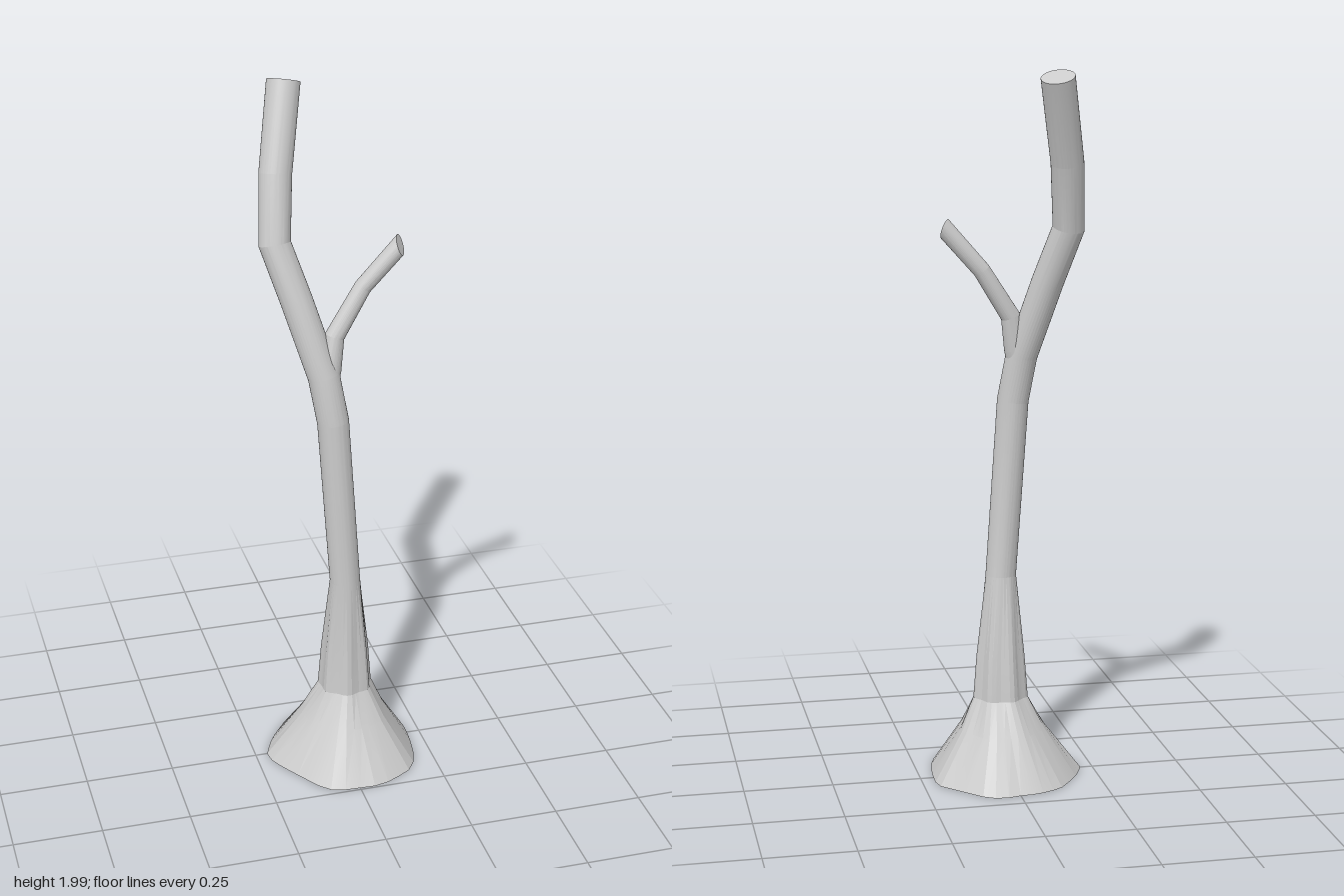
import * as THREE from 'three';
import { toCreasedNormals } from 'three/addons/utils/BufferGeometryUtils.js';

const SIDES = 36;
const material = new THREE.MeshStandardMaterial({ color: 0xcccccc });

// Irregular outline of the root flare on the ground, as x, z points
const OUTLINE = [
  [0.213, 0.0], [0.21, 0.05], [0.195, 0.14], [0.165, 0.19], [0.1, 0.23], [0.055, 0.245],
  [-0.06, 0.24], [-0.1, 0.222], [-0.19, 0.08], [-0.215, 0.03], [-0.216, -0.005],
  [-0.18, -0.08], [-0.12, -0.16], [-0.05, -0.19], [0, -0.193], [0.055, -0.206],
  [0.095, -0.19], [0.205, -0.075], [0.214, -0.06],
];

// Distance from the axis to the outline in direction a
function outlineRadius(a) {
  const c = Math.cos(a), s = Math.sin(a);
  let best = 0.2;
  OUTLINE.forEach(([x, z], i) => {
    const [x2, z2] = OUTLINE[(i + 1) % OUTLINE.length];
    const dx = x2 - x, dz = z2 - z;
    const det = c * dz - s * dx;
    const t = (x * dz - z * dx) / det;
    const u = (x * s - z * c) / det;
    if (t > 0 && u >= 0 && u <= 1) best = t;
  });
  return best;
}

// Closed limb through rings { p: centre, r: radius or function of angle, n: optional plane normal }
function limb(name, rings) {
  const centres = rings.map((k) => new THREE.Vector3(...k.p));
  const last = rings.length - 1;
  const pos = [], index = [];
  rings.forEach((ring, i) => {
    const before = centres[i].clone().sub(centres[Math.max(i - 1, 0)]).normalize();
    const after = centres[Math.min(i + 1, last)].clone().sub(centres[i]).normalize();
    const tangent = before.add(after).normalize();
    const n = ring.n ? new THREE.Vector3(...ring.n).normalize() : tangent;
    const axis = ring.flat ? n : tangent;
    const u = new THREE.Vector3(1, 0, 0).addScaledVector(axis, -axis.x).normalize();
    const v = u.clone().cross(axis);
    for (let j = 0; j < SIDES; j++) {
      const a = (j / SIDES) * Math.PI * 2;
      const r = typeof ring.r === 'function' ? ring.r(a) : ring.r;
      const d = u.clone().multiplyScalar(r * Math.cos(a)).addScaledVector(v, r * Math.sin(a));
      // slide along the limb onto the cut plane
      d.addScaledVector(axis, -d.dot(n) / axis.dot(n)).add(centres[i]);
      pos.push(d.x, d.y, d.z);
    }
  });
  const bottom = pos.length / 3, top = bottom + 1;
  pos.push(...centres[0].toArray(), ...centres[last].toArray());
  for (let j = 0; j < SIDES; j++) {
    const k = (j + 1) % SIDES;
    for (let i = 0; i < last; i++) {
      const a = i * SIDES, b = a + SIDES;
      index.push(a + j, b + j, a + k, a + k, b + j, b + k);
    }
    index.push(bottom, j, k, top, last * SIDES + k, last * SIDES + j);
  }
  const geometry = new THREE.BufferGeometry();
  geometry.setAttribute('position', new THREE.Float32BufferAttribute(pos, 3));
  geometry.setIndex(index);
  const mesh = new THREE.Mesh(toCreasedNormals(geometry, 0.19), material);
  mesh.name = name;
  return mesh;
}

export function createModel() {
  const group = new THREE.Group();
  group.name = 'tree';
  const up = [0, 1, 0];
  // Fluted section that fades out of the root outline
  const root = (r, k, flute) => (a) =>
    r * (1 - k) + outlineRadius(a) * k + flute * Math.cos(7 * a + 0.6);

  // Trunk with root flare, bending into the main limb
  group.add(limb('trunk', [
    { p: [0, 0.005, 0], r: outlineRadius, n: up, flat: true },
    { p: [0.008, 0.14, 0.013], r: root(0.06, 0.4, 0.003), n: up, flat: true },
    { p: [0.014, 0.23, 0.024], r: root(0.072, 0.02, 0.004), n: up, flat: true },
    { p: [0.014, 0.35, 0.025], r: root(0.064, 0.01, 0.004), n: up, flat: true },
    { p: [0.009, 0.58, 0.042], r: 0.043, n: up, flat: true },
    { p: [-0.025, 1.08, 0.04], r: 0.044 },
    { p: [-0.046, 1.21, 0.022], r: 0.044 },
    { p: [-0.108, 1.42, -0.03], r: 0.044 },
    { p: [-0.155, 1.57, -0.075], r: 0.044 },
    { p: [-0.14, 1.75, -0.12], r: 0.045 },
    { p: [-0.095, 1.98, -0.2], r: 0.046 },
  ]));

  // Thin side branch with an oblique cut end
  group.add(limb('sideBranch', [
    { p: [-0.045, 1.16, 0.025], r: 0.034 },
    { p: [-0.028, 1.23, 0.018], r: 0.032 },
    { p: [-0.012, 1.32, 0.01], r: 0.027 },
    { p: [0.07, 1.45, -0.002], r: 0.024 },
    { p: [0.17, 1.565, 0.01], r: 0.025, n: [0.8, 0.35, 0.45] },
  ]));
  return group;
}
